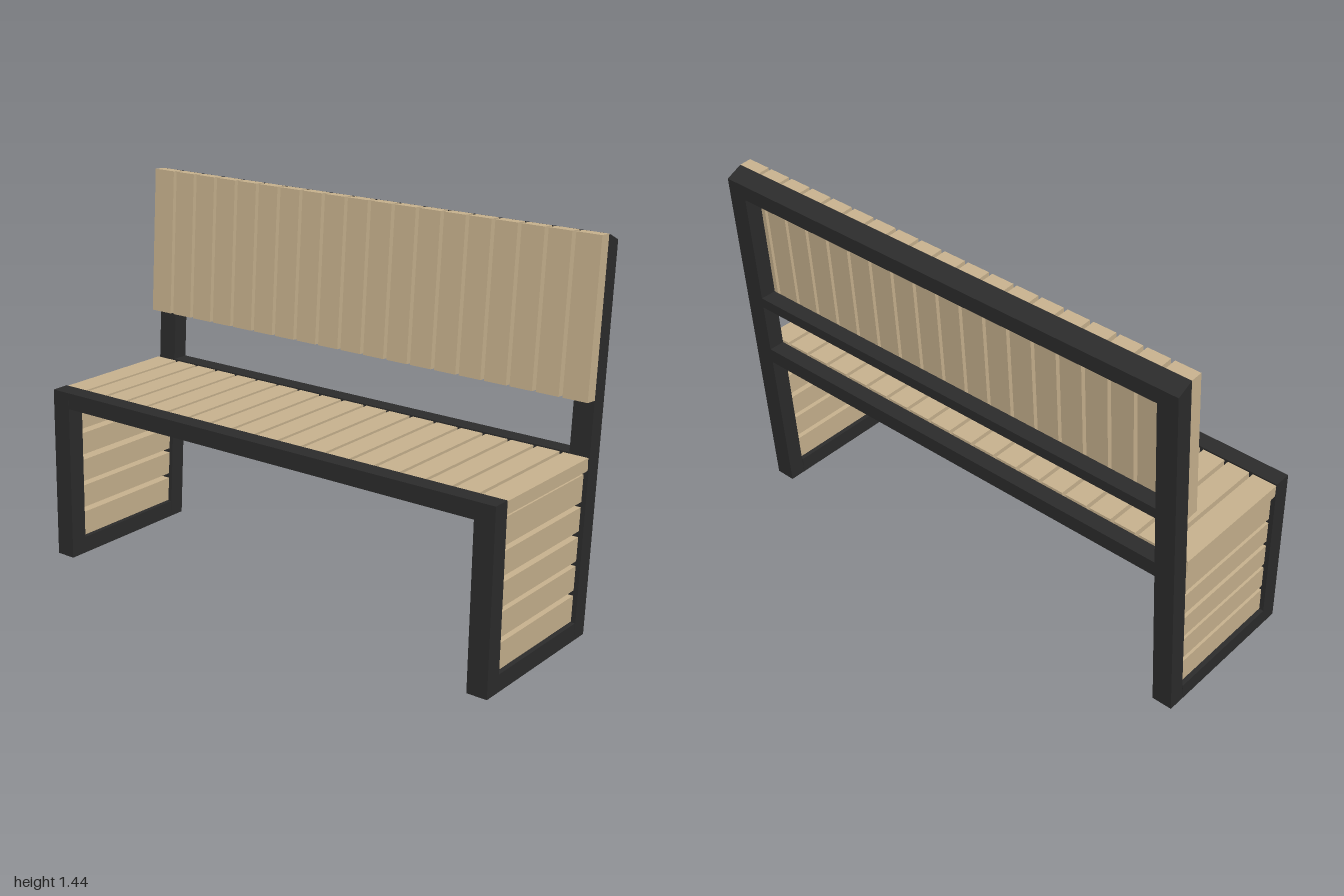
import * as THREE from 'three';

const wood = new THREE.MeshStandardMaterial({ color: 0xc9b38f });
wood.name = 'pale wood';
const steel = new THREE.MeshStandardMaterial({ color: 0x2c2c2c });
steel.name = 'dark steel';

// Front and rear faces of the leaning back post, and both faces of the front leg
const postFront = y => -0.2 - 0.0692 * y;
const postRear = y => -0.265 - 0.0695 * y;
const legFront = y => 0.366 - 0.022 * y;
const legRear = y => 0.297 - 0.022 * y;

// Extrudes a side profile of [z, y] points along x, from x0 to x1
function profile(name, points, x0, x1, material) {
  const shape = new THREE.Shape(points.map(([z, y]) => new THREE.Vector2(z, y)));
  const geometry = new THREE.ExtrudeGeometry(shape, { depth: x1 - x0, bevelEnabled: false });
  geometry.translate(0, 0, -x1).rotateY(-Math.PI / 2);
  const mesh = new THREE.Mesh(geometry, material);
  mesh.name = name;
  return mesh;
}

const rect = (z0, z1, y0, y1) => [[z0, y0], [z1, y0], [z1, y1], [z0, y1]];

// Profile of a rail lying inside the lean of the back posts
const leaning = (y0, y1) => [
  [postRear(y0), y0], [postFront(y0), y0], [postFront(y1), y1], [postRear(y1), y1],
];

// A row of upright or flat slats sharing one side profile
function slatRow(name, points) {
  const row = new THREE.Group();
  row.name = name;
  const count = 19, pitch = 0.1053, gap = 0.015;
  const gapAt = i => (i - (count - 2) / 2) * pitch;
  for (let i = 0; i < count; i++) {
    const x0 = i === 0 ? -1 : gapAt(i - 1) + gap / 2;
    const x1 = i === count - 1 ? 1 : gapAt(i) - gap / 2;
    row.add(profile(name + 'Slat', points, x0, x1, wood));
  }
  return row;
}

// Side frame: front leg, floor rail, back post and the infill boards
function sideFrame(side) {
  const group = new THREE.Group();
  group.name = side > 0 ? 'leftSide' : 'rightSide';
  const add = (name, points, a, b, material) => group.add(
    profile(name, points, Math.min(side * a, side * b), Math.max(side * a, side * b), material));

  add('frontLeg', [[legRear(0), 0], [legFront(0), 0], [legFront(0.674), 0.674], [legRear(0.674), 0.674]],
    0.92, 1, steel);
  add('floorRail', rect(postFront(0), legRear(0), 0, 0.065), 0.92, 1, steel);
  add('backPost', [[postRear(0), 0], [postFront(0), 0], [postFront(1.44), 1.44], [postRear(1.41), 1.41]],
    0.92, 1, steel);

  const boards = [[0.066, 0.162], [0.182, 0.272], [0.29, 0.378], [0.4, 0.487], [0.506, 0.605]];
  for (const [y0, y1] of boards) {
    add('sideBoard', [[postFront(y0), y0], [legRear(y0), y0], [legRear(y1), y1], [postFront(y1), y1]],
      0.937, 0.982, wood);
  }
  return group;
}

export function createModel() {
  const bench = new THREE.Group();
  bench.name = 'bench';
  bench.add(sideFrame(1), sideFrame(-1));

  // Long rails between the side frames
  bench.add(
    profile('frontRail', rect(0.282, 0.351, 0.61, 0.674), -0.92, 0.92, steel),
    profile('rearSeatRail', leaning(0.61, 0.672), -0.92, 0.92, steel),
    profile('lowerBackRail', leaning(0.872, 0.914), -0.92, 0.92, steel),
    profile('topBackRail', [
      [postRear(1.35), 1.35], [postFront(1.36), 1.36], [postFront(1.44), 1.44], [postRear(1.41), 1.41],
    ], -0.92, 0.92, steel),
  );

  // Flat strips that carry the seat slats
  bench.add(
    profile('frontSeatStrip', rect(0.228, 0.283, 0.611, 0.623), -0.98, 0.98, steel),
    profile('rearSeatStrip', rect(-0.243, -0.19, 0.611, 0.623), -0.98, 0.98, steel),
  );

  // Seat and backrest
  bench.add(
    slatRow('seat', rect(-0.236, 0.278, 0.624, 0.671)),
    slatRow('backrest', [[-0.26, 0.87], [-0.211, 0.874], [-0.252, 1.443], [-0.299, 1.44]]),
  );
  return bench;
}
